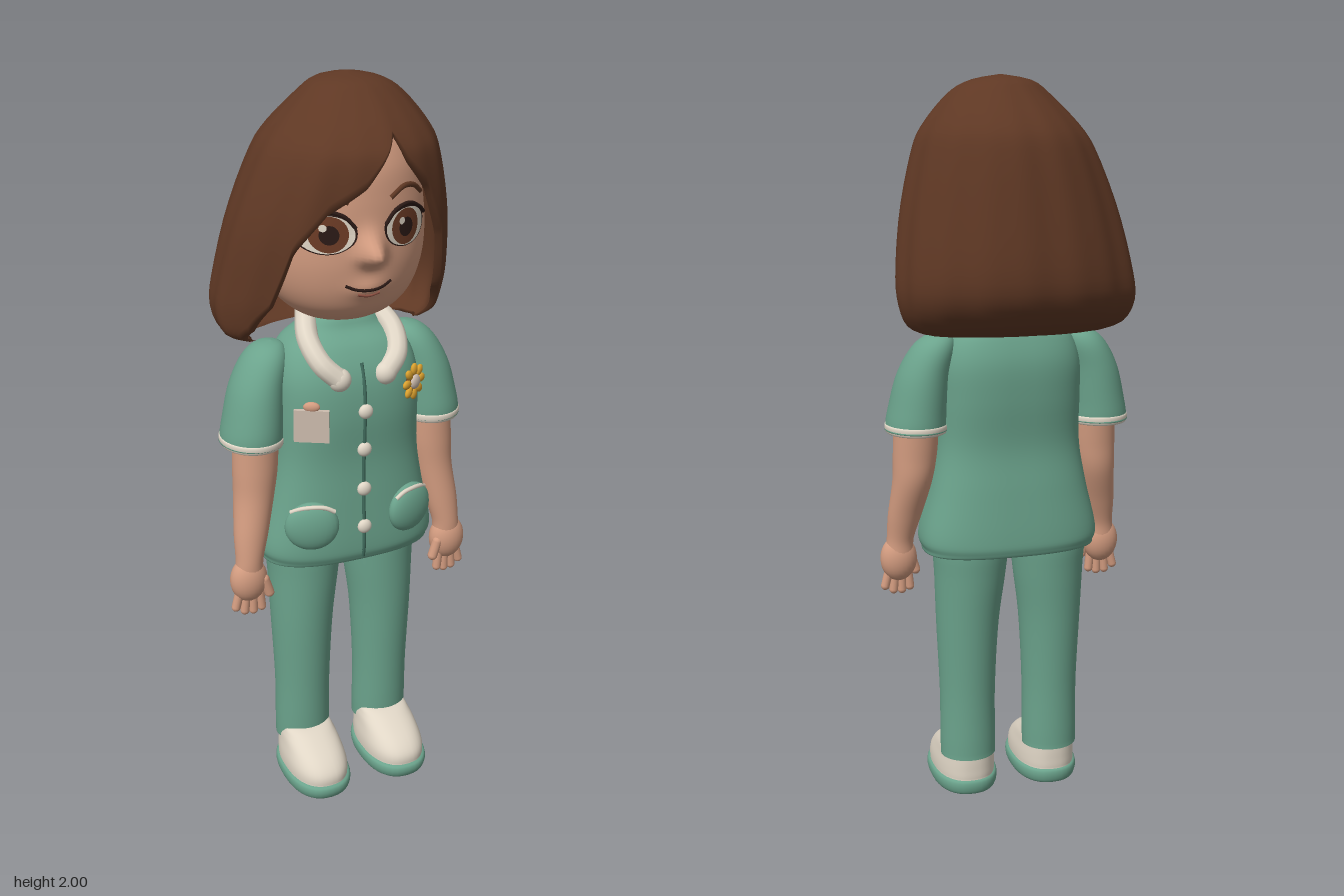
import * as THREE from 'three';

const mat = (name, color) => Object.assign(new THREE.MeshStandardMaterial({ color }), { name });
const M = {
  hair: mat('brown hair', 0x5f3824), skin: mat('skin', 0xd39c80), teal: mat('teal fabric', 0x6ba38c),
  cream: mat('cream', 0xe0d6c6), dark: mat('dark line', 0x2b1a16), iris: mat('brown iris', 0x6d3c26),
  lip: mat('lip', 0x9c5a4a), yellow: mat('yellow', 0xdca22f), seam: mat('dark teal seam', 0x3f6a5b),
  badge: mat('beige badge', 0xcdbcae),
};

// Profile rows are [y, centre x, half width, front z, back z]
const HEAD = [[1.385, 0, 0, .06, .06], [1.395, 0, .09, .115, -.03], [1.43, 0, .152, .165, -.09], [1.48, 0, .195, .192, -.14],
  [1.55, 0, .222, .206, -.18], [1.63, 0, .228, .207, -.19], [1.72, 0, .217, .205, -.19], [1.8, 0, .19, .192, -.17],
  [1.87, 0, .13, .15, -.12], [1.905, 0, .06, .08, -.05], [1.915, 0, 0, .02, .02]];
const TORSO = [[.73, 0, 0, .04, .04], [.718, 0, .215, .155, -.075], [.735, 0, .245, .18, -.098], [.78, 0, .25, .186, -.1],
  [.9, 0, .222, .182, -.09], [1.02, 0, .202, .178, -.08], [1.15, 0, .2, .186, -.095], [1.25, 0, .196, .176, -.1],
  [1.32, 0, .168, .142, -.085], [1.36, 0, .115, .1, -.065], [1.395, 0, .078, .075, -.052], [1.4, 0, 0, .01, .01]];
const HAIR = [[2, .03, 0, 0, 0], [1.985, .03, .08, .08, -.08], [1.95, .035, .135, .13, -.125], [1.87, .028, .208, .21, -.2],
  [1.8, .02, .245, .24, -.23], [1.65, .008, .292, .235, -.255], [1.5, 0, .319, .2, -.27], [1.42, -.007, .322, .17, -.25],
  [1.36, -.01, .3, .14, -.19], [1.335, -.005, .25, .1, -.13]];
// Lower edge of the hair: [angle from the front, y]
const HEM = [[-1.35, 1.33], [-1.0, 1.38], [-.8, 1.45], [-.75, 1.52], [-.71, 1.6], [-.48, 1.7], [-.16, 1.76], [.15, 1.88],
  [.32, 1.81], [.59, 1.735], [.8, 1.6], [.86, 1.51], [.92, 1.45], [1.08, 1.41], [1.4, 1.33]];
const TORSO_E = .75;

// Smooth interpolation of a profile, u from 0 to 1
function sample(t, u) {
  const p = u * (t.length - 1), i = Math.min(Math.floor(p), t.length - 2), f = p - i;
  const a = t[Math.max(i - 1, 0)], b = t[i], c = t[i + 1], d = t[Math.min(i + 2, t.length - 1)];
  return b.map((v, k) => v + .5 * f * (c[k] - a[k] + f * (2 * a[k] - 5 * v + 4 * c[k] - d[k] + f * (3 * (v - c[k]) + d[k] - a[k]))));
}
function findU(t, y) {
  const up = t[t.length - 1][0] > t[0][0];
  let lo = 0, hi = 1;
  for (let i = 0; i < 30; i++) {
    const m = (lo + hi) / 2;
    if ((sample(t, m)[0] < y) === up) lo = m; else hi = m;
  }
  return lo;
}
const spow = (v, e) => Math.sign(v) * Math.abs(v) ** e;
function ringPoint([y, cx, rx, zf, zb], a, e = 1, k = 1) {
  return [cx + k * rx * spow(Math.sin(a), e), y, (zf + zb) / 2 + k * (zf - zb) / 2 * spow(Math.cos(a), e)];
}
// Closed-round surface from rows of points, rows running upward on the outside
function grid(rows, cols, fn) {
  const pos = [], idx = [];
  for (let i = 0; i <= rows; i++) for (let j = 0; j < cols; j++) pos.push(...fn(i, j / cols * Math.PI * 2));
  for (let i = 0; i < rows; i++) for (let j = 0; j < cols; j++) {
    const a = i * cols + j, b = i * cols + (j + 1) % cols;
    idx.push(a, b, a + cols, b, b + cols, a + cols);
  }
  const g = new THREE.BufferGeometry();
  g.setAttribute('position', new THREE.Float32BufferAttribute(pos, 3));
  g.setIndex(idx);
  g.computeVertexNormals();
  return g;
}
function loft(t, { side = 1, e = 1, rows = 36, cols = 40 } = {}) {
  return grid(rows, cols, (i, a) => {
    const r = sample(t, i / rows);
    r[0] = Math.max(r[0], 0);
    r[1] *= side;
    return ringPoint(r, a, e);
  });
}
// Nose and lips as a swelling of the face
const bump = (x, y) => .062 * Math.exp(-((x / .032) ** 2) - ((y - 1.59) / (y > 1.59 ? .045 : .024)) ** 2)
  + .012 * Math.exp(-((x / .045) ** 2) - ((y - 1.5) / .025) ** 2);
function surfZ(t, x, y, e) {
  const [, cx, rx, zf, zb] = sample(t, findU(t, y));
  const s = Math.min(Math.abs((x - cx) / rx), 1);
  return (zf + zb) / 2 + (zf - zb) / 2 * (1 - s ** (2 / e)) ** (e / 2);
}
const faceZ = (x, y) => surfZ(HEAD, x, y, 1) + bump(x, y);
const chestZ = (x, y) => surfZ(TORSO, x, y, TORSO_E);

export function createModel() {
  const model = new THREE.Group();
  const add = (name, geo, m, parent = model) => {
    const mesh = new THREE.Mesh(geo, m);
    mesh.name = name;
    parent.add(mesh);
    return mesh;
  };
  const ball = (name, m, p, s, parent) => {
    const b = add(name, new THREE.SphereGeometry(1, 24, 16), m, parent);
    b.position.set(...p);
    b.scale.set(...s);
    return b;
  };
  const tube = (name, pts, r, m, n = 24) =>
    add(name, new THREE.TubeGeometry(new THREE.CatmullRomCurve3(pts.map(p => new THREE.Vector3(...p))), n, r, 10), m);
  const stroke = (name, pts, r, m, zAt) => tube(name, pts.map(([x, y]) => [x, y, zAt(x, y)]), r, m);
  // Thin ellipse laid on the face
  const faceDisc = (name, x, y, rx, ry, off, m) => {
    const g = new THREE.RingGeometry(.001, 1, 36, 5), p = g.attributes.position;
    for (let i = 0; i < p.count; i++) {
      const px = x + p.getX(i) * rx, py = y + p.getY(i) * ry;
      p.setXYZ(i, px, py, faceZ(px, py) + off);
    }
    g.computeVertexNormals();
    add(name, g, m);
  };
  // Group standing on the chest, turned to follow it
  const onChest = (name, x, y) => {
    const g = new THREE.Group();
    g.name = name;
    g.position.set(x, y, chestZ(x, y));
    g.rotation.y = Math.atan((chestZ(x - .03, y) - chestZ(x + .03, y)) / .06);
    model.add(g);
    return g;
  };

  // Head
  const head = loft(HEAD, { rows: 90, cols: 120 }), hp = head.attributes.position;
  for (let i = 0; i < hp.count; i++) if (hp.getZ(i) > .05) hp.setZ(i, hp.getZ(i) + bump(hp.getX(i), hp.getY(i)));
  head.computeVertexNormals();
  add('head', head, M.skin);
  add('neck', loft([[1.3, 0, .072, .072, -.055], [1.38, 0, .07, .07, -.055], [1.46, 0, .075, .075, -.06]]), M.skin);

  // Hair: inner surface from the crown down, then outer surface back up
  const half = 28;
  add('hair', grid(half * 2 + 1, 220, (i, th) => {
    const a = th > Math.PI ? th - Math.PI * 2 : th;
    let hem = 1.335;
    for (let k = 0; k < HEM.length - 1; k++) {
      const [a0, y0] = HEM[k], [a1, y1] = HEM[k + 1];
      if (a >= a0 && a < a1) hem = y0 + (y1 - y0) * (a - a0) / (a1 - a0);
    }
    const inner = i <= half, f = inner ? i / half : (2 * half + 1 - i) / half;
    const u = f * findU(HAIR, hem);
    const wave = 1 + Math.min(u * 2, 1) * (.01 * Math.sin(9 * a + 1) + .006 * Math.sin(17 * a));
    const p = ringPoint(sample(HAIR, u), a, 1, wave * (inner ? .93 : 1));
    if (inner) p[1] -= .02 * (1 - f);
    return p;
  }), M.hair);

  // Face
  for (const s of [-1, 1]) {
    const x = s * .108, y = 1.645;
    faceDisc('eyeOutline', x, y + .003, .072, .053, .002, M.dark);
    faceDisc('eyeWhite', x, y, .066, .047, .004, M.cream);
    faceDisc('iris', s * .104, y + .001, .046, .045, .006, M.iris);
    faceDisc('pupil', s * .104, y, .023, .024, .0075, M.dark);
    faceDisc('eyeGlint', s * .104 - .015, y + .018, .009, .009, .009, M.cream);
    stroke('upperLash', [[s * .04, y + .015], [s * .07, y + .046], [s * .115, y + .056], [s * .16, y + .036], [s * .185, y + .015]],
      .005, M.dark, (a, b) => faceZ(a, b) + .003);
    stroke('eyebrow', [[s * .055, 1.722], [s * .1, 1.744], [s * .14, 1.738], [s * .17, 1.715]], .007, M.hair, faceZ);
    ball('ear', M.skin, [s * .226, 1.55, -.005], [.024, .05, .035]);
  }
  stroke('mouth', [[-.062, 1.513], [-.035, 1.502], [0, 1.499], [.035, 1.502], [.062, 1.513]], .004, M.dark, faceZ);
  stroke('lowerLip', [[-.03, 1.488], [0, 1.483], [.03, 1.488]], .005, M.lip, (x, y) => faceZ(x, y) - .002);

  // Tunic with front seam and buttons
  add('tunic', loft(TORSO, { e: TORSO_E, rows: 60, cols: 64 }), M.teal);
  stroke('frontSeam', [1.29, 1.22, 1.1, .98, .86, .76, .735].map(y => [0, y]), .005, M.seam, chestZ);
  for (const y of [1.165, 1.055, .94, .83]) ball('button', M.cream, [0, y, chestZ(0, y) + .004], [.02, .02, .013]);

  for (const s of [-1, 1]) {
    // Collar
    const collar = [[s * .065, 1.255, .168], [s * .105, 1.295, .148], [s * .12, 1.345, .095], [s * .1, 1.383, .03],
      [s * .06, 1.39, -.045], [0, 1.39, -.068]];
    tube('collar', collar, .029, M.cream, 36);
    ball('collarTip', M.cream, collar[0], [.031, .031, .028]);

    // Pocket
    const pocket = onChest('pocket', s * .145, .85);
    ball('pocketPouch', M.teal, [0, 0, -.002], [.073, .07, .03], pocket);
    stroke('pocketTrim', [[s * .09, .895], [s * .115, .908], [s * .145, .911], [s * .175, .906], [s * .198, .893]], .006, M.cream,
      (x, y) => chestZ(x, y) + .018);

    // Sleeve and cuff
    add('sleeve', loft([[1.08, .258, 0, .035, .035], [1.07, .26, .078, .125, -.055], [1.085, .26, .083, .132, -.06], [1.13, .255, .08, .13, -.06],
      [1.22, .24, .072, .115, -.058], [1.29, .215, .06, .092, -.05], [1.325, .2, .036, .06, -.025], [1.335, .195, 0, .02, .02]],
    { side: s }), M.teal);
    add('cuff', loft([[1.07, .26, .068, .115, -.045], [1.064, .26, .08, .128, -.057], [1.073, .26, .085, .134, -.062], [1.086, .26, .085, .134, -.062],
      [1.09, .26, .078, .128, -.056]], { side: s, rows: 16 }), M.cream);

    // Arm and hand
    add('arm', loft([[1.1, .255, .062, .11, -.01], [1, .26, .061, .113, -.003], [.92, .268, .055, .115, .005], [.82, .286, .047, .125, .038],
      [.75, .297, .038, .13, .058], [.71, .3, .04, .13, .06]].reverse(), { side: s }), M.skin);
    ball('palm', M.skin, [s * .302, .69, .097], [.052, .065, .04]);
    [[.272, .625, -.1], [.293, .618, 0], [.315, .62, .1], [.336, .633, .25]].forEach(([x, y, tilt], i) => {
      const finger = add('finger', new THREE.CapsuleGeometry(.0125, .045, 6, 12), M.skin);
      finger.position.set(s * x, y, .105 - i * .002);
      finger.rotation.z = s * tilt;
    });
    const thumb = add('thumb', new THREE.CapsuleGeometry(.014, .045, 6, 12), M.skin);
    thumb.position.set(s * .257, .668, .115);
    thumb.rotation.z = -s * .3;

    // Trouser leg
    add('trouserLeg', loft([[.12, .123, 0, .03, .03], [.112, .123, .07, .095, -.035], [.13, .123, .079, .105, -.042], [.3, .123, .079, .112, -.045],
      [.5, .122, .088, .122, -.058], [.65, .115, .1, .127, -.072], [.74, .113, .106, .127, -.078], [.8, .11, .09, .11, -.06]],
    { side: s }), M.teal);

    // Shoe with a hollowed sole
    add('sole', loft([[.025, .122, .068, .215, -.008], [0, .122, .073, .222, -.015], [.003, .122, .087, .242, -.033], [.022, .122, .094, .252, -.04],
      [.04, .122, .092, .25, -.038], [.046, .122, .08, .235, -.026]], { side: s, e: .85, rows: 24 }), M.teal);
    add('shoe', loft([[.02, .122, 0, .1, .1], [.02, .122, .08, .23, -.025], [.045, .122, .086, .242, -.033], [.075, .122, .086, .238, -.034],
      [.105, .122, .081, .21, -.034], [.135, .122, .074, .158, -.032], [.155, .122, .06, .11, -.02], [.16, .122, 0, .05, .05]],
    { side: s, e: .85 }), M.cream);
  }

  // Name badge with clip
  const badge = onChest('nameBadge', -.14, 1.143);
  add('badgePlate', new THREE.BoxGeometry(.092, .088, .012), M.badge, badge).position.z = .012;
  ball('badgeClip', M.skin, [0, .052, .01], [.022, .014, .01], badge);

  // Flower brooch
  const flower = onChest('flowerBrooch', .143, 1.217);
  for (let i = 0; i < 8; i++) {
    const a = i * Math.PI / 4;
    ball('petal', M.yellow, [Math.cos(a) * .034, Math.sin(a) * .034, .012], [.017, .012, .008], flower).rotation.z = a;
  }
  ball('flowerBack', M.iris, [0, 0, .008], [.032, .032, .008], flower);
  ball('flowerCentre', M.badge, [0, 0, .016], [.02, .02, .01], flower);

  return model;
}
